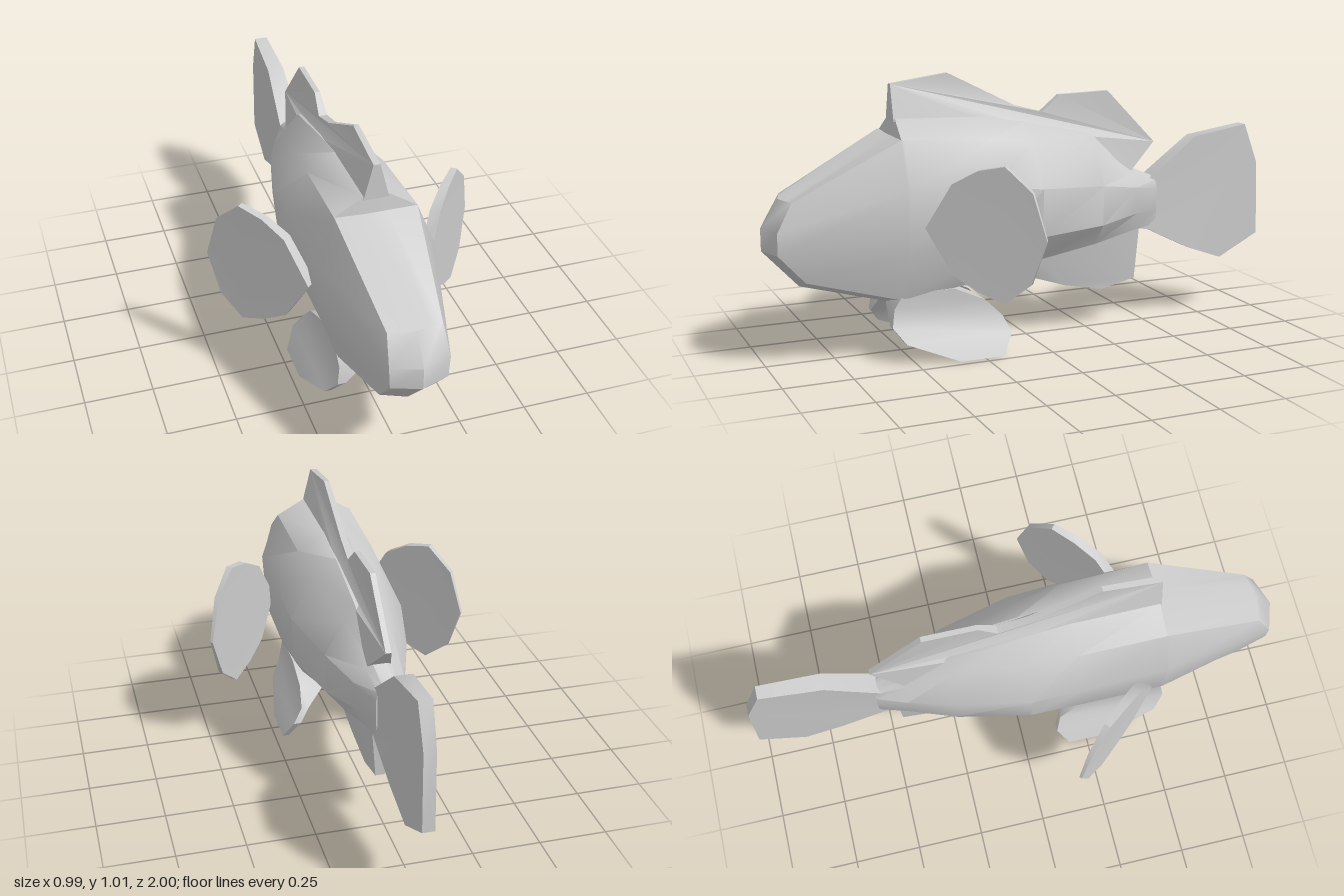
import * as THREE from 'three';
import { toCreasedNormals } from 'three/addons/utils/BufferGeometryUtils.js';

const grey = new THREE.MeshStandardMaterial({ color: 0xcccccc });

// Turns a flat list of corner points into a mesh, dropping collapsed triangles
function meshFrom(tris, name, crease = 0.6) {
  const pos = [];
  for (const [a, b, c] of tris) {
    const area = b.clone().sub(a).cross(c.clone().sub(a)).length();
    if (area > 1e-8) for (const p of [a, b, c]) pos.push(p.x, p.y, p.z);
  }
  const geo = new THREE.BufferGeometry();
  geo.setAttribute('position', new THREE.Float32BufferAttribute(pos, 3));
  const mesh = new THREE.Mesh(toCreasedNormals(geo, crease), grey);
  mesh.name = name;
  return mesh;
}

// Skins a row of closed rings and caps both ends
function loft(rings, name) {
  const tris = [];
  const n = rings[0].length;
  for (let i = 0; i < rings.length - 1; i++) {
    for (let j = 0; j < n; j++) {
      const k = (j + 1) % n;
      const [a, b, c, d] = [rings[i][j], rings[i][k], rings[i + 1][j], rings[i + 1][k]];
      tris.push([a, b, c], [b, d, c]);
    }
  }
  const first = rings[0], last = rings[rings.length - 1];
  for (let j = 1; j < n - 1; j++) {
    tris.push([first[0], first[j + 1], first[j]], [last[0], last[j], last[j + 1]]);
  }
  return meshFrom(tris, name);
}

// Fin plate in the xy plane: outline points [u, v, half thickness]
function plate(outline, name) {
  let pts = outline;
  const flat = p => p.map(([u, v]) => new THREE.Vector2(u, v));
  if (THREE.ShapeUtils.isClockWise(flat(pts))) pts = [...pts].reverse();
  const front = pts.map(([u, v, t]) => new THREE.Vector3(u, v, t));
  const back = pts.map(([u, v, t]) => new THREE.Vector3(u, v, -t));
  const tris = [];
  for (const [a, b, c] of THREE.ShapeUtils.triangulateShape(flat(pts), [])) {
    tris.push([front[a], front[b], front[c]], [back[a], back[c], back[b]]);
  }
  pts.forEach((_, i) => {
    const k = (i + 1) % pts.length;
    tris.push([front[i], back[i], back[k]], [front[i], back[k], front[k]]);
  });
  return meshFrom(tris, name);
}

// Upright fin on the middle plane: outline points [z, y, half thickness]
function middleFin(outline, name) {
  const fin = plate(outline.map(([z, y, t]) => [-z, y, t]), name);
  fin.rotation.y = Math.PI / 2;
  return fin;
}

// Body ring from a half section running from the ridge down to the belly
function bodyRing(half, z) {
  const pts = half.map(([x, y, pz]) => new THREE.Vector3(x, y, pz ?? z));
  const mirrored = pts.slice(0, -1).reverse().map(p => new THREE.Vector3(-p.x, p.y, p.z));
  return [...pts, ...mirrored];
}

export function createModel() {
  const fish = new THREE.Group();
  fish.name = 'fish';

  // Body, from the tip of the snout to the tail root
  fish.add(loft([
    bodyRing([[0, 0.6, 0.935], [0, 0.6, 0.935], [0, 0.5, 1], [0, 0.42, 1], [0, 0.28, 0.87], [0, 0.28, 0.87]]),
    bodyRing([[0.05, 0.6, 0.922], [0.095, 0.6, 0.91], [0.105, 0.5, 0.965], [0.1, 0.42, 0.965], [0.1, 0.315, 0.87], [0, 0.28, 0.87]]),
    bodyRing([[0.04, 0.8], [0.145, 0.8], [0.213, 0.63], [0.2, 0.41], [0.137, 0.225], [0, 0.185]], 0.53),
    bodyRing([[0.045, 0.86], [0.145, 0.8], [0.213, 0.63], [0.2, 0.41], [0.137, 0.225], [0, 0.185]], 0.52),
    bodyRing([[0.04, 0.85], [0.14, 0.785], [0.215, 0.62], [0.203, 0.42], [0.13, 0.27], [0, 0.245]], 0.2),
    bodyRing([[0.04, 0.82], [0.12, 0.755], [0.212, 0.6], [0.2, 0.42], [0.11, 0.31], [0, 0.3]], 0.02),
    bodyRing([[0.04, 0.76], [0.08, 0.7], [0.152, 0.58], [0.147, 0.43], [0.08, 0.345], [0, 0.335]], -0.25),
    bodyRing([[0.025, 0.62], [0.05, 0.6], [0.09, 0.55], [0.09, 0.45], [0.05, 0.375], [0, 0.365]], -0.42),
    bodyRing([[0.015, 0.575], [0.035, 0.565], [0.042, 0.53], [0.042, 0.45], [0.035, 0.39], [0, 0.38]], -0.53),
  ], 'body'));

  // Back fin with two lobes
  fish.add(middleFin([
    [0.525, 0.85, 0.045], [0.525, 0.98, 0.012], [0.31, 1.01, 0.01], [0.05, 0.88, 0.012], [-0.06, 0.85, 0.016],
    [-0.13, 0.91, 0.01], [-0.33, 0.915, 0.01], [-0.53, 0.71, 0.01], [-0.41, 0.6, 0.045],
    [-0.25, 0.75, 0.042], [0.02, 0.81, 0.042], [0.2, 0.84, 0.042],
  ], 'dorsalFin'));

  // Tail fin
  fish.add(middleFin([
    [-0.4, 0.57, 0.04], [-0.51, 0.575, 0.04], [-0.7, 0.72, 0.032], [-0.93, 0.755, 0.025], [-0.99, 0.6, 0.022],
    [-1, 0.31, 0.022], [-0.83, 0.225, 0.025], [-0.68, 0.28, 0.032], [-0.5, 0.37, 0.04], [-0.4, 0.39, 0.04],
  ], 'tailFin'));

  // Fin under the rear belly
  fish.add(middleFin([
    [0, 0.32, 0.055], [0, 0.23, 0.022], [-0.15, 0.18, 0.022], [-0.31, 0.147, 0.018], [-0.45, 0.178, 0.018],
    [-0.46, 0.38, 0.035], [-0.2, 0.36, 0.075],
  ], 'analFin'));

  const side = [
    [0.205, 0.5, 0.022], [0.27, 0.66, 0.019], [0.33, 0.71, 0.016], [0.395, 0.73, 0.012], [0.46, 0.643, 0.009],
    [0.493, 0.48, 0.005], [0.457, 0.325, 0.009], [0.395, 0.25, 0.012], [0.33, 0.285, 0.016], [0.27, 0.34, 0.019],
  ];
  // Belly fin rows: height, front z, back z, outer x, inner x
  const belly = [
    [0.25, 0.53, 0.34, 0.14, 0.0], [0.195, 0.565, 0.22, 0.138, 0.035], [0.13, 0.575, 0.155, 0.147, 0.118],
    [0.075, 0.535, 0.135, 0.183, 0.155], [0, 0.345, 0.18, 0.22, 0.195],
  ];
  for (const s of [1, -1]) {
    const label = s > 0 ? 'left' : 'right';
    // Side fin, swept backwards
    const fin = plate(side.map(([x, y, t]) => [(x - 0.205) / 0.66, y, t]), label + 'PectoralFin');
    fin.rotation.y = s > 0 ? 0.85 : Math.PI - 0.85;
    fin.position.set(s * 0.205, 0, 0.46);
    fish.add(fin);
    // Splayed belly fin
    fish.add(loft(belly.map(([y, zf, zb, xo, xi]) => {
      const ring = [[xi, zb], [xo, zb], [xo, zf], [xi, zf]].map(([x, z]) => new THREE.Vector3(s * x, y, z));
      return s > 0 ? ring : ring.reverse();
    }), label + 'PelvicFin'));
  }
  return fish;
}
